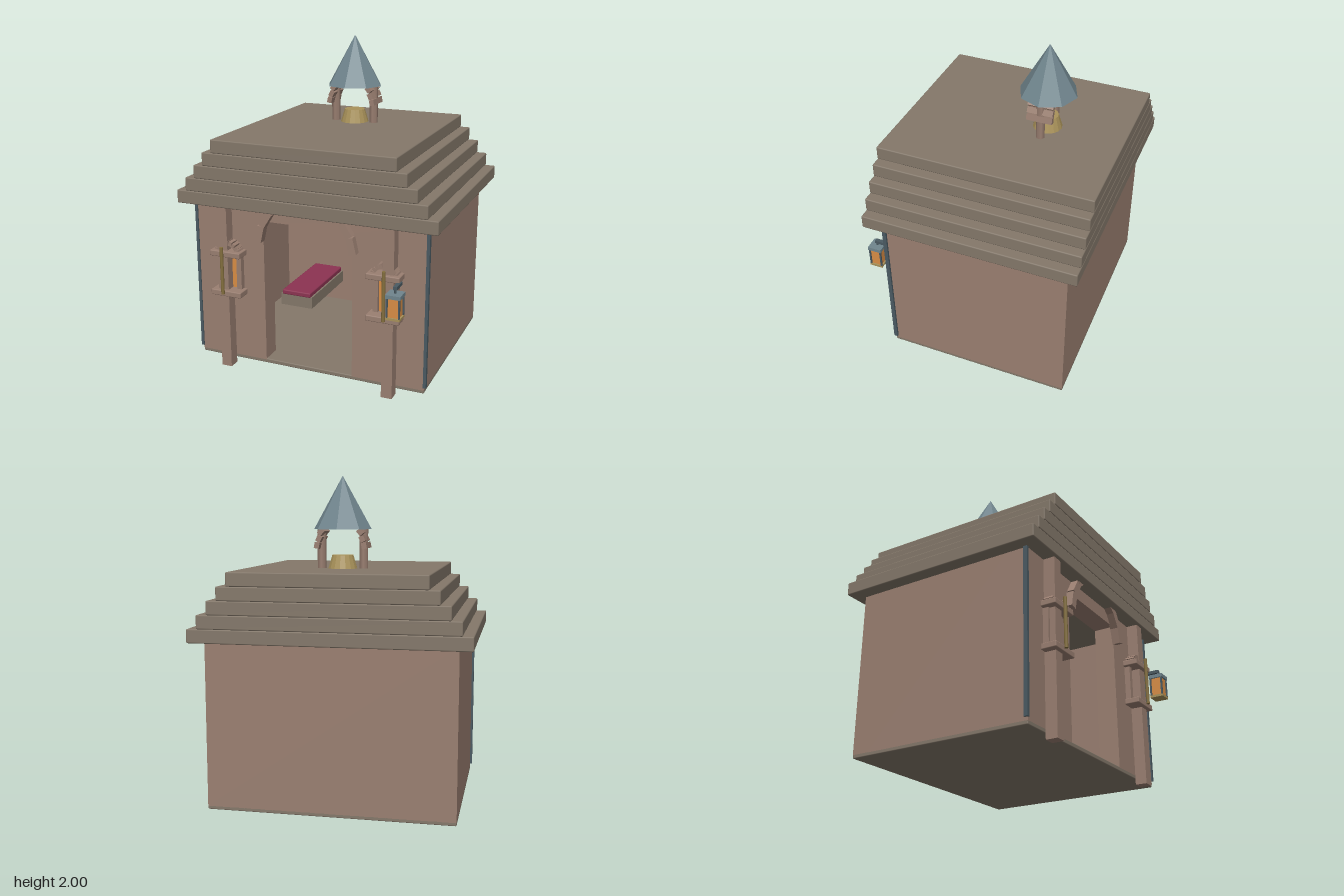
import * as THREE from 'three';
import { RoundedBoxGeometry } from 'three/addons/geometries/RoundedBoxGeometry.js';

const mat = (color, extra = {}) => {
  const m = new THREE.MeshStandardMaterial({ color, ...extra });
  return m;
};
const M = {
  wall: mat(0x9a7f71),
  roof: mat(0x84786a),
  iron: mat(0x4a5a62),
  slate: mat(0x70858d, { flatShading: true }),
  brass: mat(0xa9925a, { flatShading: true }),
  pole: mat(0x85703f),
  glow: mat(0xd98d45),
  cloth: mat(0x8c3352),
};

export function createModel() {
  const root = new THREE.Group();
  root.name = 'shrineHouse';

  const add = (name, geo, material, x, y, z, parent = root) => {
    const mesh = new THREE.Mesh(geo, material);
    mesh.name = name;
    mesh.position.set(x, y, z);
    parent.add(mesh);
    return mesh;
  };
  // Box given by its min and max on each axis
  const box = (name, material, [x0, x1], [y0, y1], [z0, z1], parent = root, r = 0) => {
    const s = [x1 - x0, y1 - y0, z1 - z0];
    const geo = r ? new RoundedBoxGeometry(...s, 1, r) : new THREE.BoxGeometry(...s);
    return add(name, geo, material, (x0 + x1) / 2, (y0 + y1) / 2, (z0 + z1) / 2, parent);
  };
  // Ring of separate stones from angle a0 to a1
  const stoneArch = (name, cx, cy, cz, radius, count, size, a0, a1, parent = root) => {
    for (let i = 0; i < count; i++) {
      const a = a0 + ((i + 0.5) / count) * (a1 - a0);
      const stone = add(name, new THREE.BoxGeometry(...size), M.wall,
        cx + Math.cos(a) * radius, cy + Math.sin(a) * radius, cz, parent);
      stone.rotation.z = a;
    }
  };

  // Floor and walls
  box('floorSlab', M.roof, [-0.735, 0.735], [0.04, 0.067], [-0.63, 0.515], root, 0.006);
  box('backWall', M.wall, [-0.735, 0.735], [0.06, 1.06], [-0.63, -0.53]);
  for (const s of [-1, 1]) {
    const xs = [0.635 * s, 0.735 * s].sort((a, b) => a - b);
    box('sideWall', M.wall, xs, [0.06, 1.06], [-0.53, 0.39]);
  }

  // Front wall with the doorway cut out
  const front = new THREE.Shape([
    [-0.735, 0.06], [-0.285, 0.06], [-0.285, 0.965], [0.285, 0.965],
    [0.285, 0.06], [0.735, 0.06], [0.735, 1.06], [-0.735, 1.06],
  ].map(([x, y]) => new THREE.Vector2(x, y)));
  add('frontWall', new THREE.ExtrudeGeometry(front, { depth: 0.125, bevelEnabled: false }),
    M.wall, 0, 0, 0.39);
  stoneArch('doorArchStone', 0, 0.83, 0.535, 0.3, 9, [0.045, 0.1, 0.05], 0.06, Math.PI - 0.06);

  // Stepped roof
  for (let i = 0; i < 5; i++) {
    const w = 0.817 - i * 0.0605, y = 1.045 + i * 0.082;
    box('roofStep', M.roof, [-w, w], [y, y + 0.082], [-0.707, 0.605], root, 0.007);
  }

  for (const s of [-1, 1]) {
    const span = (a, b) => [a * s, b * s].sort((p, q) => p - q);

    // Corner strips and front posts
    box('cornerStrip', M.iron, span(0.73, 0.748), [0.08, 1.045], [0.498, 0.522]);
    box('frontPost', M.wall, span(0.496, 0.563), [0.005, 1.05], [0.515, 0.585]);

    // Window with frame, ledges, small arch and bar
    const win = new THREE.Group();
    win.name = 'window';
    root.add(win);
    box('windowPane', M.glow, span(0.455, 0.555), [0.52, 0.74], [0.51, 0.53], win);
    box('windowFrame', M.wall, span(0.425, 0.457), [0.52, 0.74], [0.51, 0.55], win);
    box('windowFrame', M.wall, span(0.55, 0.577), [0.52, 0.74], [0.51, 0.55], win);
    for (const y of [0.485, 0.738])
      box('windowLedge', M.wall, span(0.402, 0.605), [y, y + 0.036], [0.515, 0.61], win, 0.006);
    stoneArch('windowArchStone', 0.503 * s, 0.745, 0.55, 0.073, 9,
      [0.028, 0.02, 0.06], 0.2, Math.PI - 0.2, win);
    add('windowBar', new THREE.CylinderGeometry(0.011, 0.011, 0.3, 8), M.pole,
      0.516 * s, 0.654, 0.621, win);

    // Benches with cushions inside
    box('bench', M.roof, span(0.205, 0.43), [0.21, 0.288], [-0.53, 0.01]);
    box('benchCushion', M.cloth, span(0.215, 0.42), [0.285, 0.318], [-0.53, 0.015], root, 0.008);
  }

  // Hanging lantern on the left post
  const lantern = new THREE.Group();
  lantern.name = 'lantern';
  lantern.position.set(0.6, 0, 0.662);
  root.add(lantern);
  box('lanternArm', M.iron, [-0.012, 0.012], [0.725, 0.745], [-0.085, 0.008], lantern);
  add('lanternHook', new THREE.CylinderGeometry(0.007, 0.007, 0.04, 6), M.iron, 0, 0.717, 0, lantern);
  box('lanternCap', M.slate, [-0.044, 0.044], [0.683, 0.705], [-0.044, 0.044], lantern);
  box('lanternGlass', M.glow, [-0.033, 0.033], [0.57, 0.684], [-0.033, 0.033], lantern);
  box('lanternBase', M.brass, [-0.042, 0.042], [0.556, 0.57], [-0.042, 0.042], lantern);
  for (const x of [-0.036, 0.036]) for (const z of [-0.036, 0.036])
    box('lanternCornerBar', M.iron, [x - 0.005, x + 0.005], [0.567, 0.685], [z - 0.005, z + 0.005], lantern);

  // Bell turret on the roof
  const turret = new THREE.Group();
  turret.name = 'bellTurret';
  turret.position.z = -0.232;
  root.add(turret);
  add('turretSpire', new THREE.ConeGeometry(0.175, 0.312, 8), M.slate, 0, 1.844, 0, turret);
  add('bell', new THREE.CylinderGeometry(0.064, 0.088, 0.08, 16), M.brass, 0, 1.495, 0, turret);
  for (const s of [-1, 1]) {
    add('turretPost', new THREE.CylinderGeometry(0.027, 0.027, 0.25, 6), M.wall,
      0.128 * s, 1.575, 0, turret);
    for (let i = 0; i < 3; i++) {
      const stone = add('turretBracketStone', new THREE.BoxGeometry(0.03, 0.036, 0.156), M.wall,
        (0.142 - i * 0.012) * s, 1.592 + i * 0.04, 0, turret);
      stone.rotation.z = s * (0.2 + i * 0.25);
    }
  }
  return root;
}
